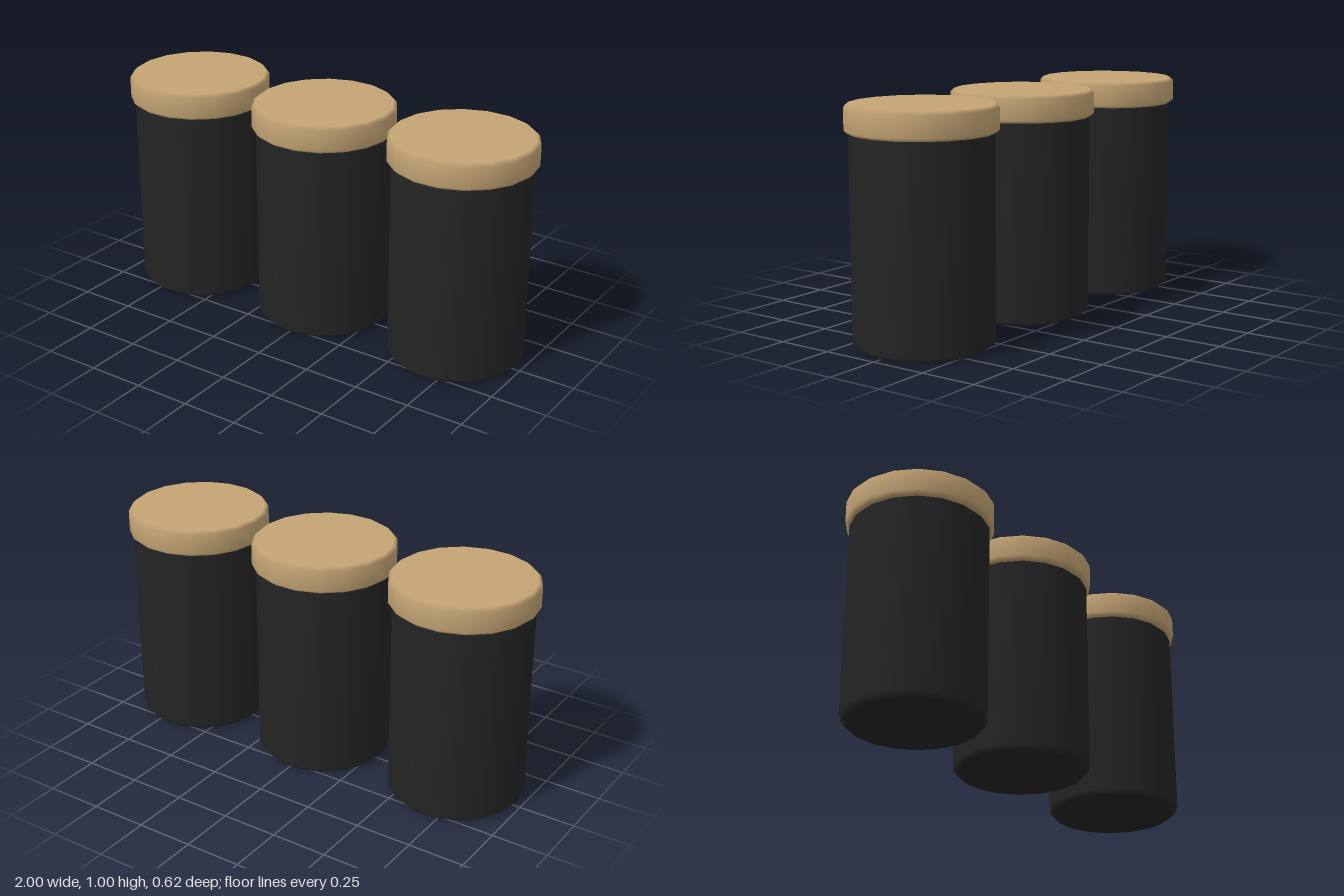
import * as THREE from 'three';

const SIDES = 18;
const SPACING = 0.685;

// Solid disc with bevelled rims, turned from bottom centre to top centre
function bevelledDrum(radius, bottom, top, bevel, bevelHeight) {
  const profile = [
    [0, bottom],
    [radius - bevel, bottom],
    [radius, bottom + bevelHeight],
    [radius, top - bevelHeight],
    [radius - bevel, top],
    [0, top],
  ].map(([r, y]) => new THREE.Vector2(r, y));
  return new THREE.LatheGeometry(profile, SIDES, Math.PI / 2);
}

export function createModel() {
  const black = new THREE.MeshStandardMaterial({ color: 0x242424 });
  black.name = 'matteBlack';
  const wood = new THREE.MeshStandardMaterial({ color: 0xc4a474 });
  wood.name = 'paleWood';

  const bodyGeometry = bevelledDrum(0.297, 0, 0.893, 0.024, 0.022);
  const lidGeometry = bevelledDrum(0.315, 0.882, 1, 0.016, 0.014);

  const model = new THREE.Group();
  model.name = 'canisterSet';

  // Three identical canisters in a row
  ['right', 'middle', 'left'].forEach((side, i) => {
    const canister = new THREE.Group();
    canister.name = `${side}Canister`;
    canister.position.x = (i - 1) * SPACING;

    const body = new THREE.Mesh(bodyGeometry, black);
    body.name = 'body';
    const lid = new THREE.Mesh(lidGeometry, wood);
    lid.name = 'lid';

    canister.add(body, lid);
    model.add(canister);
  });

  return model;
}
